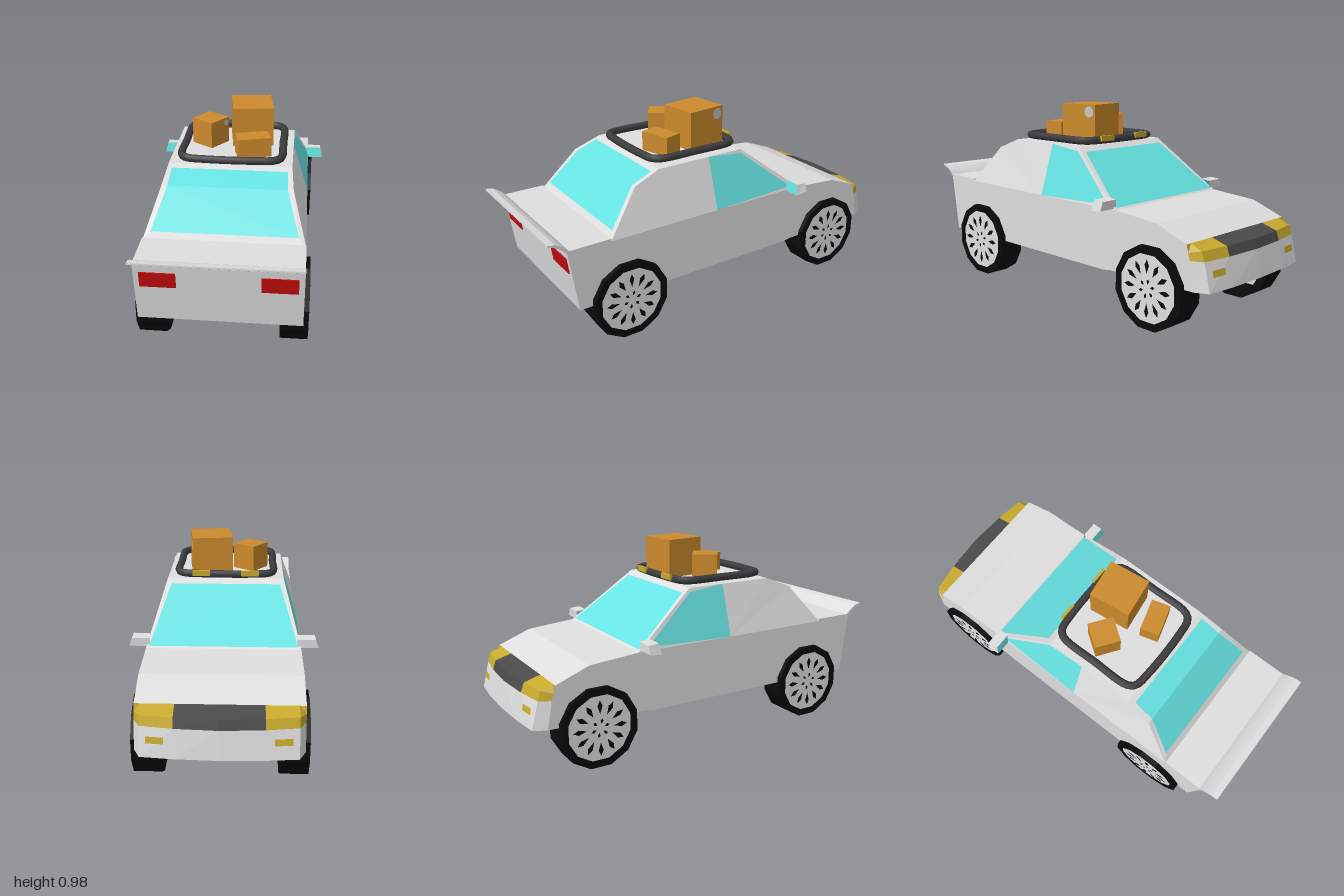
import * as THREE from 'three';

const D = THREE.DoubleSide;
const mat = (name, color, side = THREE.FrontSide) =>
  Object.assign(new THREE.MeshStandardMaterial({ color, side }), { name });

export function createModel() {
  const car = new THREE.Group();
  car.name = 'car';
  const paint = mat('body paint', 0xdedede, D);
  const glass = mat('glass', 0x66e2e2, D);
  const amber = mat('amber lamp', 0xc8aa2c, D);
  const dark = mat('grille', 0x4a4a4a, D);
  const rubber = mat('tyre rubber', 0x0a0a0a, D);
  const rackGrey = mat('rack', 0x3c3c3e);
  const red = mat('tail lamp', 0xc40c0c);
  const card = mat('cardboard', 0xcc8a2c);
  const label = mat('label', 0xc8c8c8, D);

  const add = (name, geo, material, parent = car) => {
    const m = new THREE.Mesh(geo, material);
    m.name = name;
    parent.add(m);
    return m;
  };
  const flat = (geo) => {
    const g = geo.index ? geo.toNonIndexed() : geo;
    g.computeVertexNormals();
    return g;
  };
  // Flat faceted surface from a list of polygons, each fanned from its first corner
  const panels = (name, polys, material) => {
    const pos = [];
    for (const p of polys)
      for (let i = 1; i < p.length - 1; i++) pos.push(...p[0], ...p[i], ...p[i + 1]);
    const g = new THREE.BufferGeometry();
    g.setAttribute('position', new THREE.Float32BufferAttribute(pos, 3));
    return add(name, flat(g), material);
  };
  // Quads across the car between rows given as [half width, y, z]
  const across = (rows) => rows.slice(1).map(([w, y, z], i) => {
    const [v, b, c] = rows[i];
    return [[-v, b, c], [-w, y, z], [w, y, z], [v, b, c]];
  });
  // Quads filling the gap between two outlines of equal length
  const frame = (outer, inner) => outer.map((p, i) => {
    const j = (i + 1) % outer.length;
    return [p, outer[j], inner[j], inner[i]];
  });

  // Shell: hood, roof and tail panel (open underneath)
  panels('hood', across([[.38, .525, -.445], [.38, .505, -.70], [.38, .44, -.87]]), paint);
  panels('roof', across([[.30, .785, .38], [.30, .785, -.11]]), paint);
  panels('tailPanel', across([[.38, .22, .866], [.38, .525, .91]]), paint);

  // Windscreen and its frame
  const outline = (rows) => [
    ...rows.map(([w, y, z]) => [w, y, z]),
    ...rows.slice().reverse().map(([w, y, z]) => [-w, y, z])];
  const screen = [[.28, .762, -.14], [.365, .533, -.435]];
  panels('windscreen', across(screen), glass);
  panels('windscreenFrame', frame(outline([[.30, .785, -.11], [.38, .525, -.445]]), outline(screen)), paint);

  // Two-part rear window and its frame
  const rearGlass = [[.28, .773, .41], [.285, .73, .52], [.345, .56, .665]];
  panels('rearWindow', across(rearGlass), glass);
  panels('rearWindowFrame',
    frame(outline([[.30, .785, .38], [.312, .73, .52], [.38, .525, .69]]), outline(rearGlass)), paint);

  // Sides, side windows and mirrors
  const lower = [[0, .22], [.866, .22], [.91, .525], [-.445, .525], [-.70, .505], [-.87, .44],
    [-.89, .37], [-.915, .235], [-.47, .235], [-.365, .22]];
  for (const s of [1, -1]) {
    const side = s > 0 ? 'left' : 'right';
    const P = (z, y) => [s * (.38 - .08 * (y - .525) / .26), y, z];
    panels(side + 'LowerSide', [lower.map(([z, y]) => [s * .38, y, z])], paint);
    panels(side + 'UpperSide', [
      [P(.09, .525), P(.69, .525), [s * .312, .73, .52], P(.38, .785), P(.09, .785)],
      [P(.09, .785), P(-.11, .785), P(-.11, .765)],
      [P(-.11, .785), P(-.445, .525), P(-.39, .54), P(-.11, .765)],
      [P(-.445, .525), P(.09, .525), P(-.39, .54)]], paint);
    panels(side + 'SideWindow',
      [[P(.09, .525), P(-.39, .54), P(-.11, .765), P(.09, .785)]], glass);

    // Wedge mirror with its glass facing the tail
    const a = [s * .36, .522, -.365], b = [s * .462, .522, -.365];
    const c = [s * .448, .577, -.375], d = [s * .36, .577, -.375];
    const e = [s * .36, .53, -.43], f = [s * .465, .53, -.43];
    const g = [s * .45, .572, -.43], h = [s * .36, .572, -.43];
    panels(side + 'Mirror', [[e, f, g, h], [a, b, f, e], [b, c, g, f], [c, d, h, g]], paint);
    panels(side + 'MirrorGlass', [[a, b, c, d]], glass);

    // Tail lamp let into the tail panel
    const lamp = add(side + 'TailLamp', new THREE.BoxGeometry(.165, .08, .009), red);
    lamp.position.set(s * .272, .45, .8995);
    lamp.rotation.x = .143;
  }

  // Nose: columns from the centre outwards, each with four [x, y, z] levels
  const nose = [
    [[0, .44, -.87], [0, .415, -.965], [0, .37, -.98], [0, .235, -1]],
    [[.2, .44, -.87], [.2, .415, -.952], [.2, .37, -.968], [.2, .235, -.993]],
    [[.35, .44, -.87], [.35, .415, -.93], [.35, .37, -.945], [.35, .235, -.978]],
    [[.38, .44, -.87], [.38, .405, -.88], [.38, .37, -.89], [.38, .235, -.915]]];
  const grille = [], lamps = [], bumper = [], fogs = [];
  for (const s of [1, -1]) {
    const q = nose.map((col) => col.map(([x, y, z]) => [s * x, y, z]));
    for (let c = 0; c < 3; c++)
      for (let r = 0; r < 3; r++)
        (r === 2 ? bumper : c === 0 ? grille : lamps)
          .push([q[c][r], q[c + 1][r], q[c + 1][r + 1], q[c][r + 1]]);
    fogs.push([[s * .24, .30, -.981], [s * .32, .30, -.973], [s * .32, .33, -.967], [s * .24, .33, -.975]]);
  }
  panels('grille', grille, dark);
  panels('headlamps', lamps, amber);
  panels('bumper', bumper, paint);
  panels('fogLamps', fogs, amber);

  // Boot lid sweeping up into the spoiler
  const lid = new THREE.Shape();
  lid.moveTo(.69, .525);
  lid.lineTo(.91, .525);
  lid.quadraticCurveTo(.94, .57, 1, .583);
  lid.lineTo(1, .592);
  lid.lineTo(.965, .586);
  lid.quadraticCurveTo(.93, .57, .90, .538);
  lid.lineTo(.69, .538);
  const lidGeo = new THREE.ExtrudeGeometry(lid, { depth: .76, bevelEnabled: false, curveSegments: 4 });
  lidGeo.rotateY(-Math.PI / 2).translate(.38, 0, 0);
  add('bootLidSpoiler', lidGeo, paint);

  // Wheels: twelve-sided tyre, disc and dark spoke slots
  const tyreGeo = flat(new THREE.LatheGeometry(
    [[.165, -.067], [.202, -.067], [.202, .067], [.165, .067], [.165, -.067]]
      .map(([x, y]) => new THREE.Vector2(x, y)), 12).rotateY(Math.PI / 12).rotateZ(-Math.PI / 2));
  const kite = (r0, r1, w, a) => {
    const m = r0 + (r1 - r0) * .6;
    return new THREE.Shape([[r0, 0], [m, w], [r1, 0], [m, -w]].map(([x, y]) =>
      new THREE.Vector2(x, y).rotateAround(new THREE.Vector2(), a)));
  };
  const slots = [];
  for (let i = 0; i < 12; i++) slots.push(kite(.07, .138, .013, i * Math.PI / 6));
  for (let i = 0; i < 6; i++) slots.push(kite(.022, .048, .008, i * Math.PI / 3 + .3));
  const slotGeo = new THREE.ShapeGeometry(slots).rotateY(Math.PI / 2).translate(.069, 0, 0);
  const discGeo = new THREE.CircleGeometry(.17, 12, Math.PI / 12).rotateY(Math.PI / 2).translate(.064, 0, 0);
  for (const s of [1, -1])
    for (const [end, z] of [['rear', .605], ['front', -.667]]) {
      const wheel = new THREE.Group();
      wheel.name = end + (s > 0 ? 'LeftWheel' : 'RightWheel');
      add('tyre', tyreGeo, rubber, wheel);
      add('wheelDisc', discGeo, paint, wheel);
      add('spokeSlots', slotGeo, rubber, wheel);
      wheel.position.set(s * .338, .2, z);
      wheel.rotation.y = s > 0 ? 0 : Math.PI;
      car.add(wheel);
    }

  // Roof rack rail with two marker lamps
  const half = [[.13, -.117], [.215, -.104], [.242, -.07], [.247, .13], [.242, .33], [.215, .363], [.13, .375]];
  const loop = [[0, -.121], ...half, [0, .379], ...half.slice().reverse().map(([x, z]) => [-x, z])];
  const rail = new THREE.CatmullRomCurve3(loop.map(([x, z]) => new THREE.Vector3(x, .809, z)), true);
  add('rackRail', new THREE.TubeGeometry(rail, 72, .02, 8, true), rackGrey);
  for (const s of [1, -1])
    add('rackLamp', new THREE.BoxGeometry(.09, .028, .014), amber).position.set(s * .125, .818, -.137);

  // Cardboard boxes: [name, x, z, width, height, depth, turn, label size]
  const boxes = [
    ['largeBox', .08, .03, .205, .2, .215, .13, .03],
    ['smallBox', -.128, .097, .13, .133, .13, -.62, .015],
    ['lowBox', .1, .24, .166, .098, .098, .28, 0]];
  for (const [name, x, z, w, h, d, turn, r] of boxes) {
    const box = new THREE.Group();
    box.name = name;
    add('carton', new THREE.BoxGeometry(w, h, d), card, box);
    if (r) add('label', new THREE.CircleGeometry(r, 8, Math.PI / 8).rotateY(Math.PI / 2), label, box)
      .position.set(w / 2 + .002, h / 2 - r - .008, -d / 2 + r + .008);
    box.position.set(x, .788 + h / 2, z);
    box.rotation.y = turn;
    car.add(box);
  }
  return car;
}
